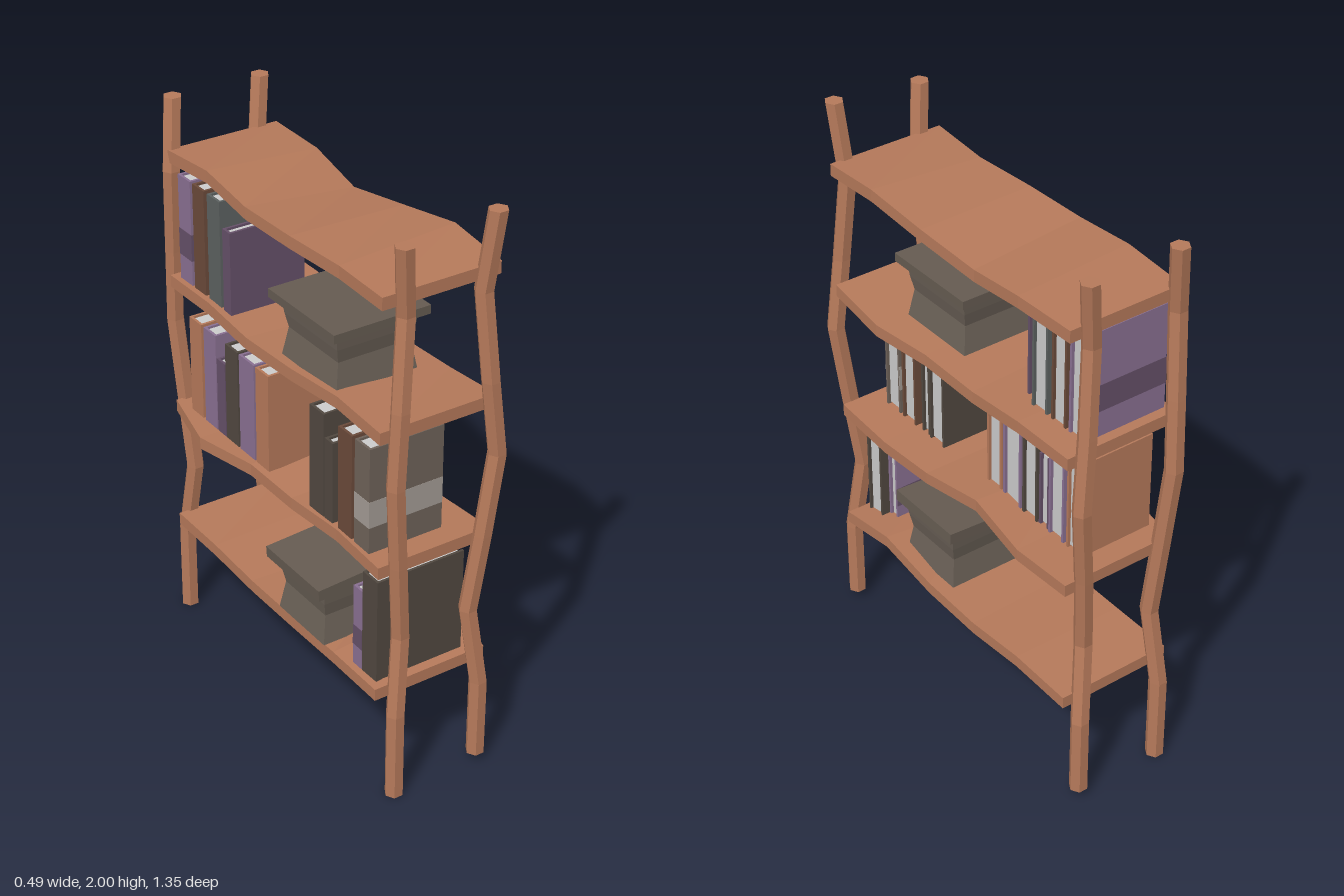
import * as THREE from 'three';

const mat = (color) => new THREE.MeshStandardMaterial({ color, flatShading: true });
const WOOD = mat(0xb5795a), CRATE = mat(0x6b6157), LID = mat(0x655b51), PAGES = mat(0xcccccc);
const COVER = {
  purple: mat(0x8a7092), plum: mat(0x655068), dark: mat(0x514840), taupe: mat(0x6e6259),
  slate: mat(0x5c6160), brown: mat(0x6b4a3a), tan: mat(0xb5795a), pale: mat(0xa39b94),
};

// Closed solid through rings of [x, y, z], each ordered counter-clockwise about the advance direction
function loft(rings, material, name) {
  const n = rings[0].length, last = rings.length - 1, index = [];
  for (let i = 0; i < last; i++) {
    for (let j = 0; j < n; j++) {
      const a = i * n + j, b = i * n + (j + 1) % n;
      index.push(a, b, b + n, a, b + n, a + n);
    }
  }
  for (let j = 1; j < n - 1; j++) {
    index.push(0, j + 1, j, last * n, last * n + j, last * n + j + 1);
  }
  const g = new THREE.BufferGeometry();
  g.setAttribute('position', new THREE.Float32BufferAttribute(rings.flat(2), 3));
  g.setIndex(index);
  const flat = g.toNonIndexed();
  flat.computeVertexNormals();
  const mesh = new THREE.Mesh(flat, material);
  mesh.name = name;
  return mesh;
}

function box(parent, name, material, x0, x1, y0, y1, z0, z1) {
  const m = new THREE.Mesh(new THREE.BoxGeometry(x1 - x0, y1 - y0, z1 - z0), material);
  m.position.set((x0 + x1) / 2, (y0 + y1) / 2, (z0 + z1) / 2);
  m.name = name;
  parent.add(m);
}

// Crooked six-sided pole: points are [x, y, z] along its centre
function pole(name, ys, xs, zs) {
  const rings = ys.map((y, i) => Array.from({ length: 6 }, (_, k) => {
    const a = k * Math.PI / 3;
    return [xs[i] + 0.032 * Math.cos(a), y, zs[i] - 0.032 * Math.sin(a)];
  }));
  return loft(rings, WOOD, name);
}

// Warped plank: heights and edges listed from back to front
function shelf(name, leftTop, rightTop, xMin, xMax) {
  const t = 0.043;
  const rings = leftTop.map((yl, i) => {
    const z = -0.605 + i * 0.243, yr = rightTop[i], a = xMin[i], b = xMax[i];
    return [[a, yr - t, z], [b, yl - t, z], [b, yl, z], [a, yr, z]];
  });
  return loft(rings, WOOD, name);
}

// Storage crate with bowed sides and an overhanging lid
function crate(name, x0, x1, z0, z1, y0, y1, lid, tilt) {
  const g = new THREE.Group();
  g.name = name;
  const insets = [0, 0.008, 0.016, 0.006, 0];
  const rings = insets.map((d, i) => {
    const y = y0 + (y1 - y0) * i / 4;
    return [[x0 + d, y, z1 - d], [x1 - d, y, z1 - d], [x1 - d, y, z0 + d], [x0 + d, y, z0 + d]];
  });
  g.add(loft(rings, CRATE, 'crateBody'));
  const [lx0, lx1, lz0, lz1, h] = lid;
  const top = new THREE.Mesh(new THREE.BoxGeometry(lx1 - lx0, h, lz1 - lz0), LID);
  top.position.set((lx0 + lx1) / 2, y1 + h / 2, (lz0 + lz1) / 2);
  top.rotation.z = tilt;
  top.name = 'crateLid';
  g.add(top);
  return g;
}

// Book standing with its spine towards -x and its pages towards +x
function book([z0, z1, y0, y1, x1, color, band]) {
  const g = new THREE.Group(), c = COVER[color], x0 = -0.18, t = 0.009;
  g.name = 'book';
  box(g, 'backCover', c, x0, x1, y0, y1, z0, z0 + t);
  box(g, 'frontCover', c, x0, x1, y0, y1, z1 - t, z1);
  box(g, 'spine', c, x0, x0 + t, y0, y1, z0 + t, z1 - t);
  box(g, 'pages', PAGES, x0 + t, x1 - 0.01, y0 + 0.006, y1 - 0.008, z0 + t, z1 - t);
  if (band) {
    const h = y1 - y0, e = 0.001, b0 = y0 + h * 0.25, b1 = y0 + h * 0.5;
    box(g, 'coverBand', COVER[band], x0 - e, x1, b0, b1, z0 - e, z0 + t / 2);
    box(g, 'coverBand', COVER[band], x0 - e, x1, b0, b1, z1 - t / 2, z1 + e);
    box(g, 'spineBand', COVER[band], x0 - e, x0 + t / 2, b0, b1, z0, z1);
  }
  return g;
}

export function createModel() {
  const model = new THREE.Group();
  model.name = 'bookshelf';

  // Four crooked poles
  const ys = (lo, hi) => [lo, 0.32, 0.6, 0.88, 1.17, 1.43, 1.73, hi];
  const zFront = [0.645, 0.645, 0.62, 0.637, 0.645, 0.64, 0.615, 0.645];
  const zBack = [-0.637, -0.637, -0.595, -0.62, -0.645, -0.632, -0.61, -0.64];
  model.add(
    pole('frontRightPole', ys(0, 1.97), [-0.15, -0.15, -0.12, -0.145, -0.165, -0.15, -0.12, -0.15], zFront),
    pole('frontLeftPole', ys(0.03, 2), [0.175, 0.175, 0.142, 0.175, 0.212, 0.18, 0.16, 0.178], zFront),
    pole('backRightPole', ys(0, 1.97), [-0.15, -0.15, -0.135, -0.15, -0.165, -0.17, -0.18, -0.15], zBack),
    pole('backLeftPole', ys(0.03, 1.97), [0.175, 0.175, 0.135, 0.16, 0.195, 0.17, 0.145, 0.18], zBack),
  );

  // Four wavy shelves
  model.add(
    shelf('bottomShelf',
      [0.415, 0.422, 0.395, 0.41, 0.458, 0.415], [0.415, 0.415, 0.41, 0.405, 0.41, 0.415],
      [-0.2, -0.2, -0.205, -0.2, -0.2, -0.205], [0.22, 0.22, 0.215, 0.22, 0.225, 0.22]),
    shelf('lowerShelf',
      [0.875, 0.863, 0.9, 0.873, 0.858, 0.875], [0.875, 0.865, 0.87, 0.87, 0.88, 0.875],
      [-0.195, -0.248, -0.2, -0.2, -0.19, -0.2], [0.22, 0.22, 0.2, 0.22, 0.22, 0.22]),
    shelf('upperShelf',
      [1.355, 1.355, 1.325, 1.335, 1.328, 1.355], [1.355, 1.358, 1.345, 1.345, 1.36, 1.355],
      [-0.2, -0.2, -0.21, -0.2, -0.19, -0.2], [0.22, 0.22, 0.21, 0.215, 0.235, 0.225]),
    shelf('topShelf',
      [1.805, 1.8, 1.762, 1.792, 1.826, 1.805], [1.805, 1.825, 1.8, 1.8, 1.8, 1.805],
      [-0.195, -0.195, -0.205, -0.2, -0.185, -0.2], [0.22, 0.22, 0.2, 0.22, 0.235, 0.225]),
  );

  // Storage crates
  model.add(
    crate('upperCrate', -0.17, 0.13, 0.03, 0.335, 1.345, 1.54, [-0.2, 0.155, 0, 0.365, 0.03], 0),
    crate('lowerCrate', -0.205, 0.17, 0.055, 0.32, 0.41, 0.615, [-0.235, 0.2, 0.025, 0.335, 0.04], 0.06),
  );

  // Books: back z, front z, bottom, top, open edge x, cover colour, band colour
  [
    [-0.30, -0.255, 1.35, 1.645, 0.1, 'plum'],
    [-0.39, -0.315, 1.35, 1.73, 0.13, 'slate'],
    [-0.48, -0.41, 1.35, 1.73, 0.13, 'brown'],
    [-0.57, -0.495, 1.35, 1.73, 0.13, 'purple', 'plum'],
    [0.45, 0.53, 0.875, 1.25, 0.095, 'taupe', 'pale'],
    [0.36, 0.435, 0.875, 1.25, 0.095, 'brown'],
    [0.285, 0.33, 0.875, 1.17, 0.09, 'dark'],
    [0.2, 0.28, 0.875, 1.25, 0.095, 'dark'],
    [-0.115, -0.04, 0.875, 1.23, 0.095, 'tan'],
    [-0.215, -0.125, 0.875, 1.23, 0.095, 'purple'],
    [-0.3, -0.225, 0.875, 1.23, 0.095, 'dark'],
    [-0.355, -0.305, 0.875, 1.15, 0.09, 'plum'],
    [-0.435, -0.36, 0.875, 1.23, 0.095, 'purple'],
    [-0.525, -0.45, 0.875, 1.23, 0.095, 'tan'],
    [0.5, 0.58, 0.415, 0.795, 0.15, 'dark'],
    [0.45, 0.498, 0.415, 0.715, 0.12, 'purple', 'plum'],
  ].forEach((b) => model.add(book(b)));

  return model;
}
